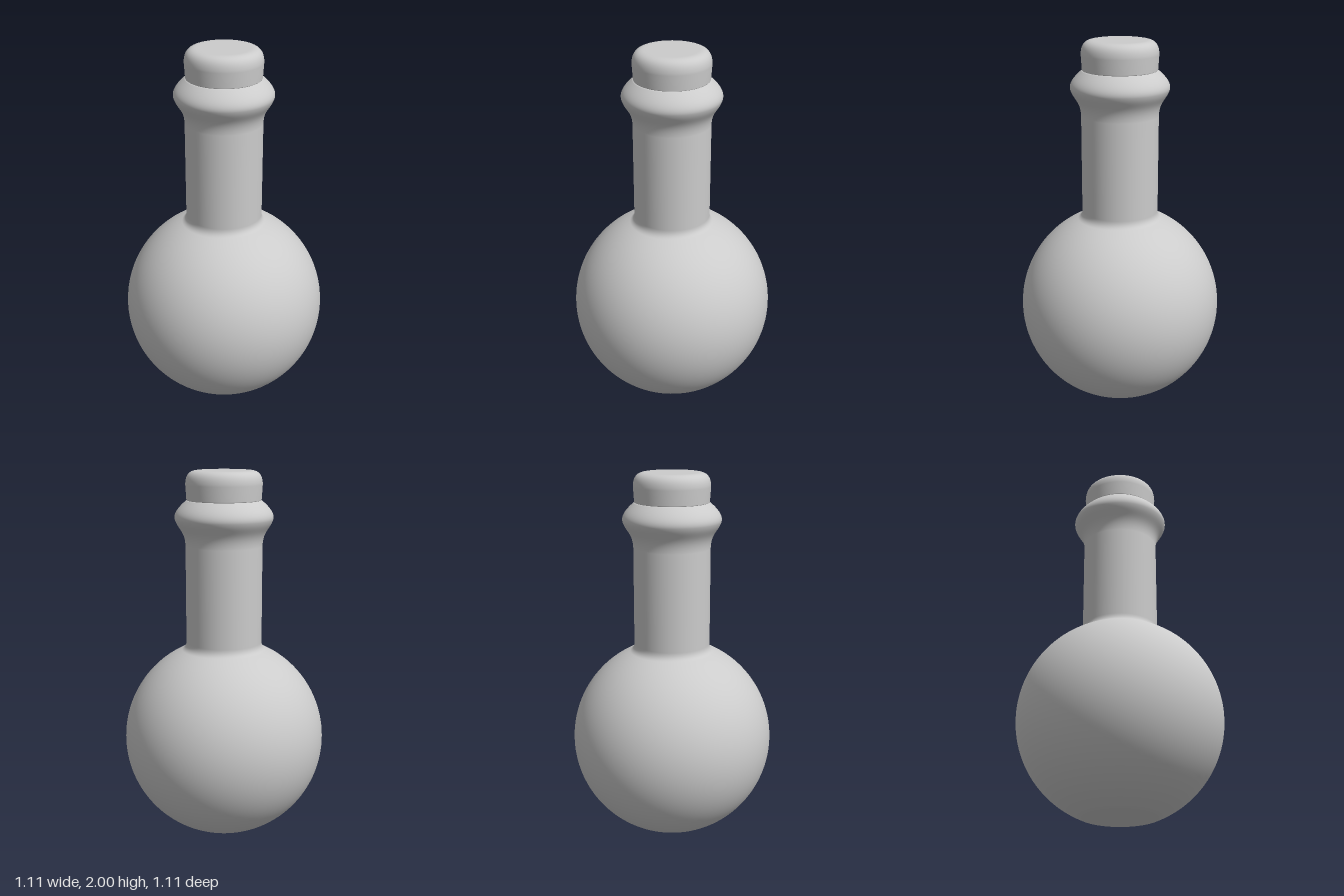
import * as THREE from 'three';

const SEGMENTS = 96;
const material = new THREE.MeshStandardMaterial({ color: 0xcccccc, side: THREE.DoubleSide });

// Turns a profile path (radius, height) into a smooth round part
function turned(name, path, divisions) {
  const mesh = new THREE.Mesh(new THREE.LatheGeometry(path.getPoints(divisions), SEGMENTS), material);
  mesh.name = name;
  return mesh;
}

export function createModel() {
  const group = new THREE.Group();
  group.name = 'stopperedFlask';

  // Flask: flat base, round bulb, straight neck and flared lip
  const R = 0.555, centre = 0.522;
  const angleAt = (r) => Math.acos(r / R);
  const low = angleAt(0.225), high = angleAt(0.235);
  const flask = new THREE.Path();
  flask.moveTo(0, 0);
  flask.lineTo(0.165, 0);
  flask.quadraticCurveTo(0.195, 0, 0.225, centre - R * Math.sin(low));
  flask.absarc(0, centre, R, -low, high, false);
  flask.quadraticCurveTo(0.208, 1.037, 0.208, 1.07);
  flask.lineTo(0.208, 1.6);
  flask.bezierCurveTo(0.21, 1.68, 0.25, 1.695, 0.264, 1.742);
  flask.bezierCurveTo(0.273, 1.775, 0.24, 1.81, 0.205, 1.84);
  flask.quadraticCurveTo(0.198, 1.845, 0.185, 1.845);
  flask.lineTo(0.16, 1.842);
  flask.lineTo(0.155, 1.6);
  group.add(turned('flask', flask, 24));

  // Stopper: rounded cap, slightly wider at the top, with a plug inside the neck
  const stopper = new THREE.Path();
  stopper.moveTo(0, 1.65);
  stopper.lineTo(0.145, 1.65);
  stopper.lineTo(0.15, 1.842);
  stopper.lineTo(0.197, 1.843);
  stopper.quadraticCurveTo(0.201, 1.843, 0.201, 1.848);
  stopper.lineTo(0.206, 1.925);
  stopper.bezierCurveTo(0.206, 1.975, 0.185, 2, 0.142, 2);
  stopper.lineTo(0.13, 2);
  stopper.lineTo(0, 2);
  group.add(turned('stopper', stopper, 12));

  return group;
}
